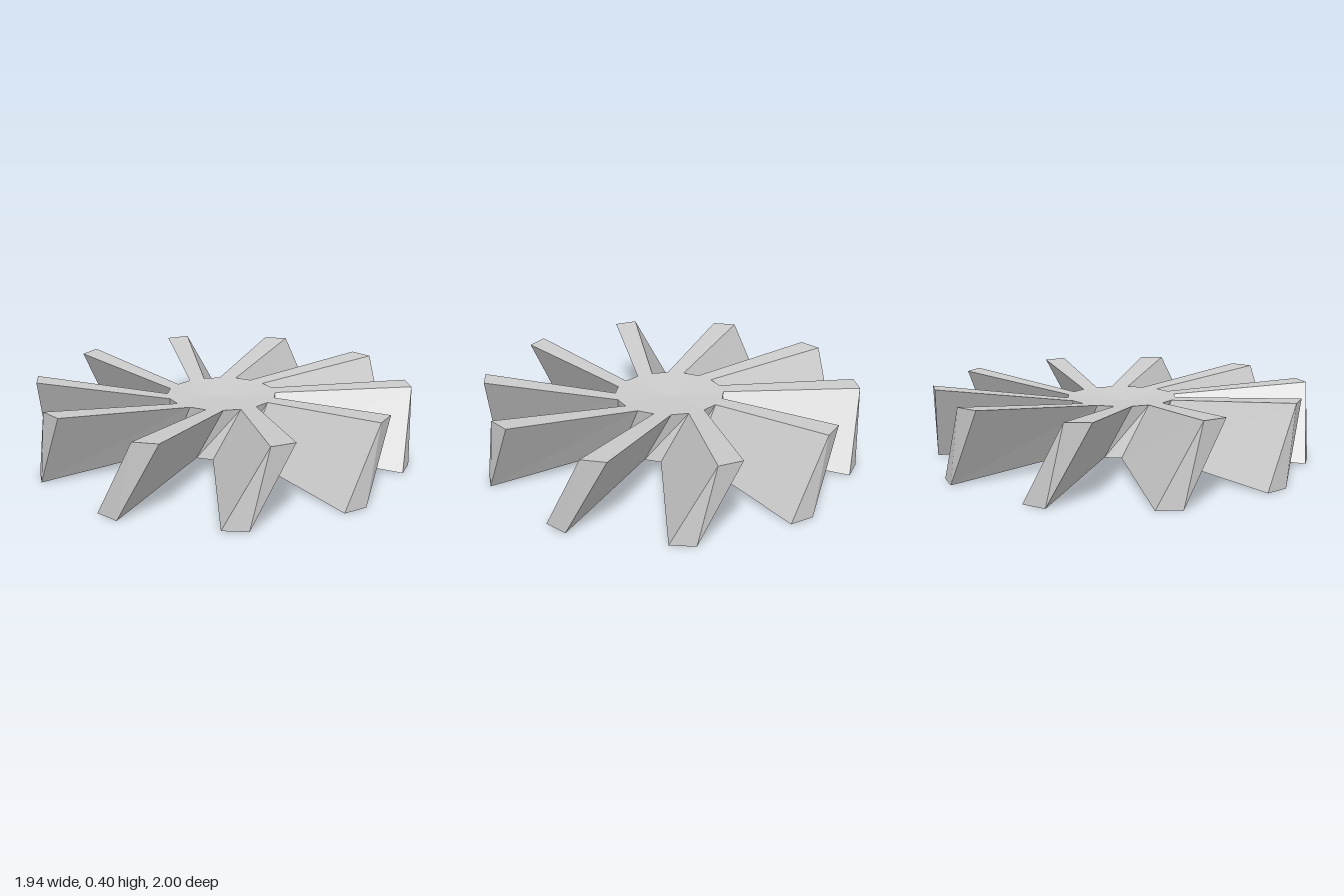
import * as THREE from 'three';

const BLADES = 10;
const HUB_R = 0.287, HUB_LOW = 0.065, HUB_HIGH = 0.335;
const TOP_TURN = THREE.MathUtils.degToRad(12.7);
const BOTTOM_TURN = THREE.MathUtils.degToRad(-16);
const STEP = Math.PI / BLADES; // one blade root or one gap

const grey = new THREE.MeshStandardMaterial({ color: 0xcccccc, flatShading: true });

const facet = (geometry) => {
  const flat = geometry.toNonIndexed();
  flat.computeVertexNormals();
  return flat;
};

// Twisted hub with shallow dished top and underside
function hubGeometry() {
  const geo = new THREE.CylinderGeometry(HUB_R, HUB_R, 1, BLADES * 2, 1);
  const p = geo.attributes.position;
  for (let i = 0; i < p.count; i++) {
    const top = p.getY(i) > 0;
    const v = new THREE.Vector3(p.getX(i), 0, p.getZ(i));
    const centre = v.length() < 0.01;
    v.applyAxisAngle(new THREE.Vector3(0, 1, 0), top ? TOP_TURN : BOTTOM_TURN);
    v.y = top ? HUB_HIGH : HUB_LOW;
    if (centre) v.y += top ? -0.022 : 0.022;
    p.setXYZ(i, v.x, v.y, v.z);
  }
  return facet(geo);
}

// Leaning blade: a box whose root corners sit on the hub rim
function bladeGeometry() {
  const geo = new THREE.BoxGeometry(1, 1, 1);
  const p = geo.attributes.position;
  // outer corners [x, z]: left, right
  const tip = { top: [[0.09, 0.99], [0.212, 0.953]], bottom: [[-0.126, 0.971], [0, 0.998]] };
  for (let i = 0; i < p.count; i++) {
    const right = p.getX(i) > 0 ? 1 : 0;
    const top = p.getY(i) > 0;
    if (p.getZ(i) > 0) {
      const [x, z] = tip[top ? 'top' : 'bottom'][right];
      p.setXYZ(i, x, top ? 0.4 : 0, z);
    } else {
      const a = (top ? TOP_TURN : BOTTOM_TURN) + right * STEP;
      p.setXYZ(i, HUB_R * Math.sin(a), top ? HUB_HIGH : HUB_LOW, HUB_R * Math.cos(a));
    }
  }
  // split the tip face along its convex diagonal
  [16, 18, 19, 16, 19, 17].forEach((v, k) => geo.index.setX(24 + k, v));
  return facet(geo);
}

export function createModel() {
  const model = new THREE.Group();
  model.name = 'bladedWheel';

  const hub = new THREE.Mesh(hubGeometry(), grey);
  hub.name = 'hub';
  model.add(hub);

  const shape = bladeGeometry();
  for (let i = 0; i < BLADES; i++) {
    const blade = new THREE.Mesh(shape, grey);
    blade.name = `blade${i + 1}`;
    blade.rotation.y = i * 2 * STEP;
    model.add(blade);
  }
  return model;
}
